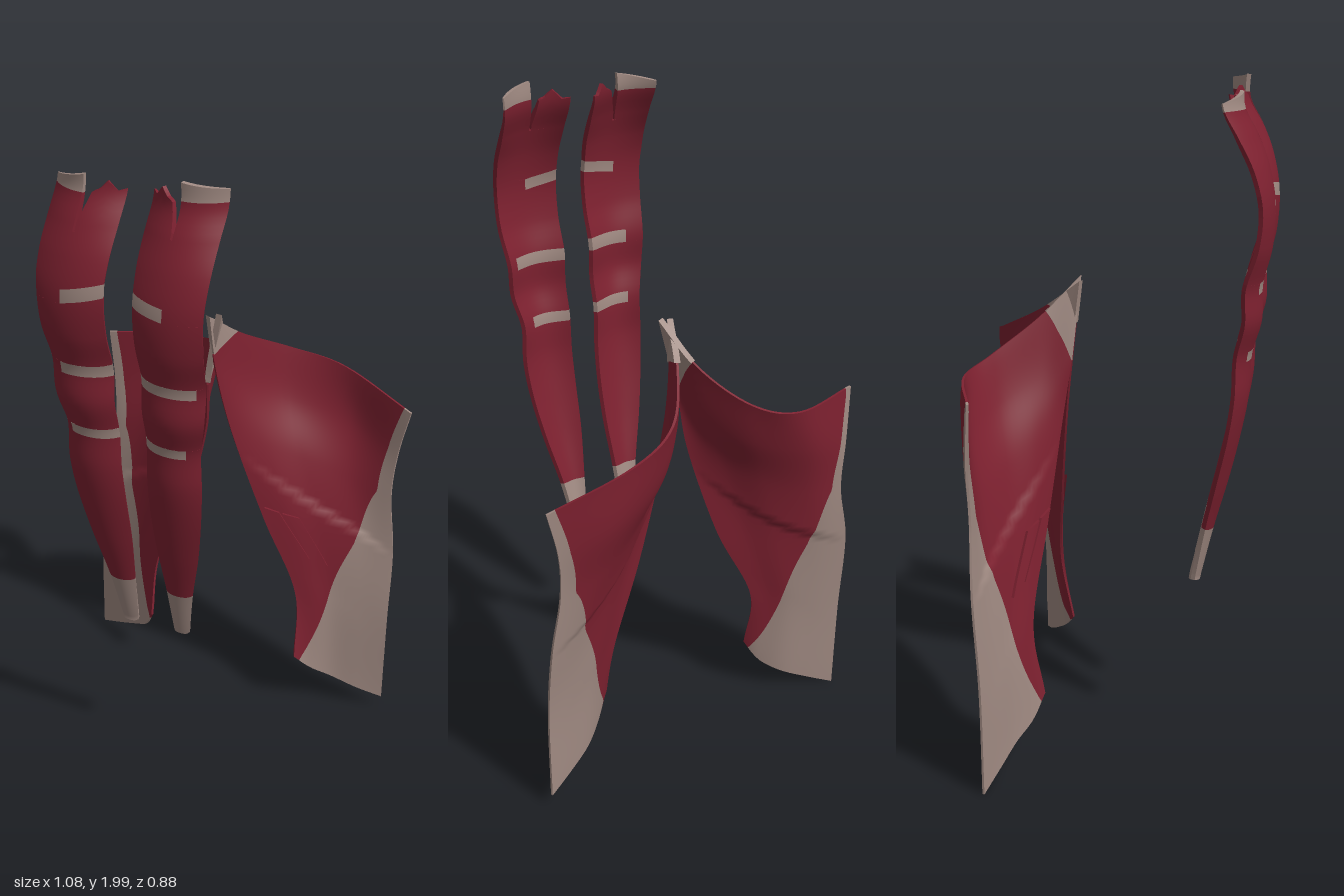
import * as THREE from 'three';

const muscle = new THREE.MeshStandardMaterial({ color: 0x7e2130 });
muscle.name = 'muscle red';
const tendon = new THREE.MeshStandardMaterial({ color: 0xa08a82 });
tendon.name = 'tendon beige';

const { lerp, clamp, smoothstep } = THREE.MathUtils;

// Smooth interpolation of table rows [key, a, b, ...] with rising keys
function smooth(table, key) {
  const n = table.length;
  let i = 0;
  while (i < n - 2 && key > table[i + 1][0]) i++;
  const p = table[i], q = table[i + 1], h = q[0] - p[0];
  const t = clamp((key - p[0]) / h, 0, 1), t2 = t * t, t3 = t2 * t;
  const o = table[Math.max(i - 1, 0)], r = table[Math.min(i + 2, n - 1)];
  return p.slice(1).map((a, k) => {
    const b = q[k + 1];
    const m0 = (b - o[k + 1]) / (q[0] - o[0]) * h, m1 = (r[k + 1] - a) / (r[0] - p[0]) * h;
    return a * (2 * t3 - 3 * t2 + 1) + m0 * (t3 - 2 * t2 + t) + b * (3 * t2 - 2 * t3) + m1 * (t3 - t2);
  });
}

// Straight interpolation of [key, value] rows
function linear(table, key) {
  let i = 0;
  while (i < table.length - 2 && key > table[i + 1][0]) i++;
  const [p, q] = [table[i], table[i + 1]];
  return lerp(p[1], q[1], clamp((key - p[0]) / (q[0] - p[0]), 0, 1));
}

// Closed shell around the part of surface(u, v) picked out by map(s, t)
function shell(name, material, surface, map, ns, nt, thickness, lift = 0) {
  const e = 0.004, pos = [], nor = [], grid = [];
  for (let j = 0; j <= nt; j++) {
    for (let i = 0; i <= ns; i++) {
      const [u, v] = map(i / ns, j / nt);
      const p = surface(u, v);
      const du = surface(u + e, v).sub(surface(u - e, v));
      const dv = surface(u, v + e).sub(surface(u, v - e));
      const n = du.cross(dv).normalize();
      if (lift) p.addScaledVector(n, n.z > 0 ? lift : -lift);
      const h = thickness(u, v) / 2;
      grid.push({ n, m: n.clone().negate(), a: p.clone().addScaledVector(n, h), b: p.clone().addScaledVector(n, -h) });
    }
  }
  const at = (i, j) => grid[j * (ns + 1) + i];
  const quad = (p, n) => [0, 1, 2, 0, 2, 3].forEach((k) => {
    pos.push(...p[k].toArray());
    nor.push(...n[k].toArray());
  });
  for (let j = 0; j < nt; j++) {
    for (let i = 0; i < ns; i++) {
      const c = [at(i, j), at(i + 1, j), at(i + 1, j + 1), at(i, j + 1)], d = [...c].reverse();
      quad(c.map((g) => g.a), c.map((g) => g.n));
      quad(d.map((g) => g.b), d.map((g) => g.m));
    }
  }
  // Rim around the outline
  const rim = (P, Q) => {
    const n = Q.a.clone().sub(P.a).cross(P.n).normalize();
    quad([P.b, Q.b, Q.a, P.a], [n, n, n, n]);
  };
  for (let i = 0; i < ns; i++) {
    rim(at(i, 0), at(i + 1, 0));
    rim(at(i + 1, nt), at(i, nt));
  }
  for (let j = 0; j < nt; j++) {
    rim(at(ns, j), at(ns, j + 1));
    rim(at(0, j + 1), at(0, j));
  }
  const g = new THREE.BufferGeometry();
  g.setAttribute('position', new THREE.Float32BufferAttribute(pos, 3));
  g.setAttribute('normal', new THREE.Float32BufferAttribute(nor, 3));
  const mesh = new THREE.Mesh(g, material);
  mesh.name = name;
  return mesh;
}

// Front strap: height, inner x, outer x, z, edge bow
const STRAP = [
  [0.53, 0.06, 0.105, 0.222, 0.004], [0.7, 0.05, 0.132, 0.262, 0.012], [0.86, 0.038, 0.168, 0.305, 0.02],
  [1.0, 0.036, 0.192, 0.337, 0.022], [1.12, 0.038, 0.203, 0.358, 0.026], [1.24, 0.04, 0.202, 0.364, 0.028],
  [1.34, 0.04, 0.222, 0.39, 0.032], [1.44, 0.04, 0.228, 0.39, 0.032], [1.55, 0.04, 0.238, 0.415, 0.024],
  [1.66, 0.04, 0.241, 0.42, 0.02], [1.76, 0.041, 0.247, 0.402, 0.026], [1.85, 0.043, 0.25, 0.37, 0.038],
  [1.93, 0.045, 0.255, 0.338, 0.046], [2.02, 0.045, 0.26, 0.341, 0.052],
];
const TEETH = [[0, 1.945], [0.09, 1.94], [0.2, 1.968], [0.3, 1.945], [0.37, 1.94], [0.46, 1.865]];

function frontStrap(side) {
  const left = side > 0, drop = left ? 0 : 0.025, group = new THREE.Group();
  group.name = left ? 'leftFrontStrap' : 'rightFrontStrap';
  const surface = (u, y) => {
    const [inner, outer, z, bow] = smooth(STRAP, y);
    let x = lerp(inner, outer, u);
    if (!left) x += 0.012 - 0.1 * Math.max(0, y - 1.7);
    return new THREE.Vector3(side * x, y, z - bow * (2 * u - 1) ** 2);
  };
  // Thick belly, thin edges and a thin upper end
  const thick = (u, y) => lerp(0.034, 0.012, smoothstep(y, 1.8, 1.96)) * (1 - 0.6 * (2 * u - 1) ** 4);
  const add = (name, mat, u0, u1, lo, hi, nu = 12) => {
    const rows = Math.max(2, Math.ceil((hi(u0) - lo(u0)) / 0.02));
    group.add(shell(name, mat, surface, (s, t) => {
      const u = lerp(u0, u1, s);
      return [u, lerp(lo(u), hi(u), t)];
    }, nu, rows, thick));
  };
  const level = (y) => () => y;
  add('lowerTendon', tendon, 0, 1, level(left ? 0.54 : 0.525), level(0.7));
  // Bellies separated by short cross bands; the top band climbs inward
  const bands = left
    ? [[1.225, 1.257, 0.79, 0], [1.42, 1.455, 0.89, 0], [1.648, 1.684, 0.5, 0.03]]
    : [[1.225, 1.257, 0.79, 0], [1.418, 1.455, 0.73, 0.01], [1.642, 1.678, 0.55, 0.045]];
  let below = level(0.7);
  for (const [y0, y1, end, tilt] of bands) {
    const lower = (u) => y0 + tilt * Math.max(0, end - u);
    const upper = (u) => y1 + tilt * Math.max(0, end - u);
    add('belly', muscle, 0, 1, below, lower);
    add('crossBand', tendon, 0, end, lower, upper);
    add('bandSide', muscle, end, 1, lower, upper, 4);
    below = upper;
  }
  const neck = level(1.85 - drop), tab = level(1.945 - drop);
  add('upperBelly', muscle, 0, 1, below, neck, 16);
  // Ragged upper end and its tendon tab
  add('upperTeeth', muscle, 0, 0.46, neck, (u) => linear(TEETH, u) - drop / 2, 16);
  add('upperSlip', muscle, 0.49, 1, neck, tab);
  add('upperTendon', tendon, 0.49, 1, tab, (u) => lerp(2.01, left ? 1.98 : 1.955, u) - drop / 2);
  return group;
}

// Back wings: rows from top to bottom, points from spine to outer edge
const LEFT_WING = [
  [[-0.02, 1.41, -0.13], [0.035, 1.315, -0.255], [0.14, 1.235, -0.388], [0.3, 1.185, -0.438], [0.54, 1.1, -0.395]],
  [[-0.005, 1.22, -0.155], [0.055, 1.14, -0.25], [0.16, 1.07, -0.365], [0.33, 1.02, -0.425], [0.508, 0.95, -0.395]],
  [[0.04, 1.0, -0.185], [0.12, 0.95, -0.25], [0.22, 0.9, -0.325], [0.36, 0.84, -0.38], [0.5, 0.8, -0.383]],
  [[0.14, 0.7, -0.22], [0.22, 0.67, -0.26], [0.31, 0.64, -0.31], [0.42, 0.62, -0.35], [0.525, 0.6, -0.368]],
  [[0.245, 0.44, -0.245], [0.3, 0.41, -0.265], [0.36, 0.4, -0.295], [0.44, 0.38, -0.32], [0.53, 0.36, -0.345]],
  [[0.265, 0.21, -0.21], [0.31, 0.16, -0.245], [0.37, 0.12, -0.285], [0.45, 0.08, -0.315], [0.53, 0.05, -0.345]],
];
const RIGHT_WING = [
  [[-0.015, 1.42, -0.135], [0.04, 1.3, -0.255], [0.14, 1.21, -0.375], [0.27, 1.175, -0.428], [0.5, 1.16, -0.365]],
  [[0.03, 1.2, -0.155], [0.07, 1.13, -0.25], [0.17, 1.07, -0.355], [0.32, 1.03, -0.408], [0.49, 0.98, -0.375]],
  [[0.05, 1.0, -0.185], [0.13, 0.95, -0.25], [0.23, 0.9, -0.325], [0.36, 0.85, -0.37], [0.49, 0.81, -0.37]],
  [[0.14, 0.69, -0.22], [0.22, 0.66, -0.26], [0.31, 0.63, -0.31], [0.42, 0.61, -0.345], [0.535, 0.6, -0.36]],
  [[0.26, 0.42, -0.245], [0.31, 0.4, -0.265], [0.37, 0.38, -0.295], [0.45, 0.35, -0.32], [0.54, 0.32, -0.345]],
  [[0.27, 0.2, -0.21], [0.31, 0.13, -0.24], [0.37, 0.085, -0.28], [0.45, 0.045, -0.31], [0.542, 0.004, -0.342]],
];
const OUTER_SPLIT = [[0, 0.975], [0.2, 0.955], [0.4, 0.92], [0.6, 0.71], [0.8, 0.42], [1, 0.08]];
const LEFT_SPINE = [[0, 0.21], [0.14, 0]];
const RIGHT_SPINE = [[0, 0.21], [0.1, 0.13], [0.23, 0]];

function backWing(side) {
  const left = side > 0, group = new THREE.Group();
  group.name = left ? 'leftBackWing' : 'rightBackWing';
  const curve = (pts) => new THREE.CatmullRomCurve3(pts, false, 'catmullrom', 0.5);
  const rows = (left ? LEFT_WING : RIGHT_WING)
    .map((r) => curve(r.map(([x, y, z]) => new THREE.Vector3(side * x, y, z))));
  // A slanting fold steps the lower layer forward
  const surface = (u, v) => {
    const a = clamp(u, 0, 1), b = clamp(v, 0, 1), fold = 0.45 + 0.15 * a;
    const p = curve(rows.map((r) => r.getPoint(a))).getPoint(b);
    p.z += 0.012 * Math.sin(Math.PI * a) * smoothstep(b, fold - 0.015, fold + 0.015) * (1 - smoothstep(b, fold, fold + 0.25));
    return p;
  };
  const split = (v) => linear(OUTER_SPLIT, v);
  const spineTable = left ? LEFT_SPINE : RIGHT_SPINE;
  const spine = (v) => linear(spineTable, v);
  const spineEnd = spineTable.at(-1)[0] - 0.004;
  // Sheet thins toward its edges
  const thick = (u, v) => 0.007 + 0.011 * smoothstep(Math.min(v, 1 - v, u, 1 - u), 0, 0.06);
  group.add(shell('wingMuscle', muscle, surface, (s, t) => [lerp(spine(t), split(t), s), t], 24, 64, thick));
  group.add(shell('outerTendon', tendon, surface, (s, t) => [lerp(split(t), 1, s), t], 14, 64, thick));
  group.add(shell('spineTendon', tendon, surface, (s, t) => [spine(t * spineEnd) * s, t * spineEnd], 6, 12, () => 0.018));
  // Two narrow slips lying on the inner face
  for (let k = 0; k < 2; k++) {
    group.add(shell('innerSlip', muscle, surface,
      (s, t) => [0.06 + 0.16 * k + 0.13 * s + 0.14 * t, lerp(0.56, 0.67 + 0.01 * k, t)], 4, 10, () => 0.012, 0.012));
  }
  return group;
}

export function createModel() {
  const model = new THREE.Group();
  model.name = 'torsoMuscles';
  for (const side of [1, -1]) model.add(frontStrap(side), backWing(side));
  return model;
}
